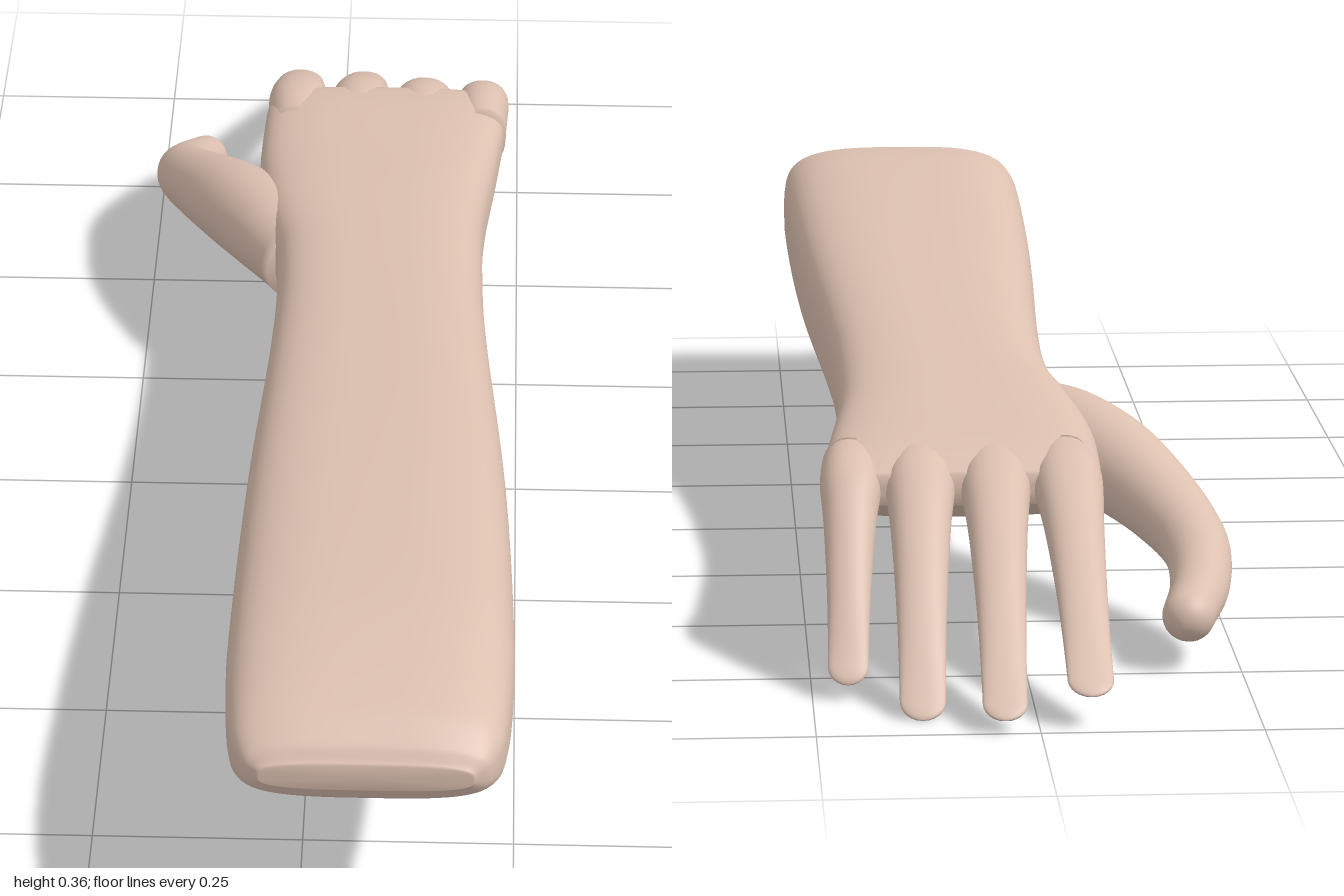
import * as THREE from 'three';

const skin = new THREE.MeshStandardMaterial({ color: 0xdcc0b0 });
skin.name = 'skin';

// Smooth closed skin over sections [x, y, z, halfWidth, halfHeight] running towards -z.
function loft(name, sections, { power = 2, steps = 5, sides = 28, tilt = true, dome = 0 }) {
  const path = new THREE.CatmullRomCurve3(sections.map(s => new THREE.Vector3(s[0], s[1], s[2])));
  const size = new THREE.SplineCurve(sections.map(s => new THREE.Vector2(s[3], s[4])));
  const count = (sections.length - 1) * steps;
  const rings = [];
  for (let i = 0; i <= count; i++) {
    const u = i / count, r = size.getPoint(u);
    const t = tilt ? path.getTangent(u) : new THREE.Vector3(0, 0, -1);
    rings.push({ c: path.getPoint(u), t, rx: r.x, ry: r.y });
  }
  // rounded tip
  const end = rings[count];
  for (let k = 1; k <= dome; k++) {
    const a = k / (dome + 0.4) * Math.PI / 2;
    rings.push({
      c: end.c.clone().addScaledVector(end.t, end.rx * Math.sin(a)),
      t: end.t, rx: end.rx * Math.cos(a), ry: end.ry * Math.cos(a),
    });
  }
  const pos = [], index = [], up = new THREE.Vector3(0, 1, 0);
  const bend = v => Math.sign(v) * Math.pow(Math.abs(v), 2 / power);
  for (const { c, t, rx, ry } of rings) {
    const side = new THREE.Vector3().crossVectors(t, up).normalize();
    const top = new THREE.Vector3().crossVectors(side, t);
    for (let j = 0; j < sides; j++) {
      const a = j / sides * Math.PI * 2;
      const p = c.clone().addScaledVector(side, rx * bend(Math.cos(a))).addScaledVector(top, ry * bend(Math.sin(a)));
      pos.push(p.x, p.y, p.z);
    }
  }
  const last = rings.length - 1, tail = rings.length * sides;
  for (let j = 0; j < sides; j++) {
    const n = (j + 1) % sides;
    for (let i = 0; i < last; i++) {
      const a = i * sides + j, b = i * sides + n;
      index.push(a, a + sides, b, b, a + sides, b + sides);
    }
    index.push(tail, j, n, tail + 1, last * sides + n, last * sides + j);
  }
  pos.push(...rings[0].c.toArray(), ...rings[last].c.toArray());
  const geo = new THREE.BufferGeometry();
  geo.setAttribute('position', new THREE.Float32BufferAttribute(pos, 3));
  geo.setIndex(index);
  geo.computeVertexNormals();
  const mesh = new THREE.Mesh(geo, skin);
  mesh.name = name;
  return mesh;
}

// Forearm and palm limits: z, left x, right x, bottom y, top y
const armLimits = [
  [1, -0.04, 0.2, 0.267, 0.3],
  [0.985, -0.06, 0.22, 0.245, 0.318],
  [0.95, -0.075, 0.235, 0.222, 0.338],
  [0.88, -0.083, 0.243, 0.2, 0.352],
  [0.75, -0.086, 0.246, 0.18, 0.359],
  [0.4, -0.08, 0.235, 0.155, 0.337],
  [0, -0.065, 0.208, 0.137, 0.297],
  [-0.2, -0.068, 0.202, 0.132, 0.279],
  [-0.32, -0.088, 0.205, 0.131, 0.269],
  [-0.45, -0.1, 0.218, 0.138, 0.257],
  [-0.58, -0.098, 0.23, 0.152, 0.247],
  [-0.63, -0.094, 0.23, 0.163, 0.238],
  [-0.66, -0.085, 0.22, 0.183, 0.22],
];

// Thumb: x, y, z, radius
const thumbPath = [
  [-0.035, 0.192, -0.24, 0.052],
  [-0.075, 0.19, -0.32, 0.06],
  [-0.125, 0.176, -0.41, 0.059],
  [-0.175, 0.148, -0.505, 0.049],
  [-0.21, 0.113, -0.6, 0.04],
  [-0.208, 0.084, -0.67, 0.035],
  [-0.19, 0.064, -0.727, 0.031],
];

// Fingers: base x, tip x, tip y, tip z, base half width, tip half width
const fingers = [
  ['indexFinger', -0.055, -0.058, 0.033, -0.98, 0.041, 0.026],
  ['middleFinger', 0.03, 0.039, 0.012, -1, 0.041, 0.025],
  ['ringFinger', 0.118, 0.128, 0, -0.94, 0.041, 0.026],
  ['littleFinger', 0.199, 0.209, 0.018, -0.852, 0.036, 0.023],
];

export function createModel() {
  const group = new THREE.Group();
  group.name = 'forearmAndHand';

  const arm = armLimits.map(([z, l, r, b, t]) => [(l + r) / 2, (b + t) / 2, z, (r - l) / 2, (t - b) / 2]);
  group.add(loft('forearm', arm, { power: 3.3, sides: 64, tilt: false }));

  group.add(loft('thumb', thumbPath.map(([x, y, z, r]) => [x, y, z, r, r]), { dome: 6 }));

  // flattened fingers that curl down and thin out towards the tips
  for (const [name, x0, x1, tipY, tipZ, w0, w1] of fingers) {
    const endY = tipY + 0.018, endZ = tipZ + 0.018;
    const sections = [[x0, 0.2, -0.56, w0 * 0.9, 0.043]];
    for (const u of [0, 0.25, 0.5, 0.75, 1]) {
      sections.push([
        x0 + (x1 - x0) * u,
        0.203 - (0.203 - endY) * Math.pow(u, 1.3),
        -0.64 + (endZ + 0.64) * u,
        w1 + (w0 - w1) * Math.pow(1 - u, 1.6),
        0.006 + 0.031 * (1 - u),
      ]);
    }
    group.add(loft(name, sections, { power: 2.2, dome: 6 }));
  }
  return group;
}
